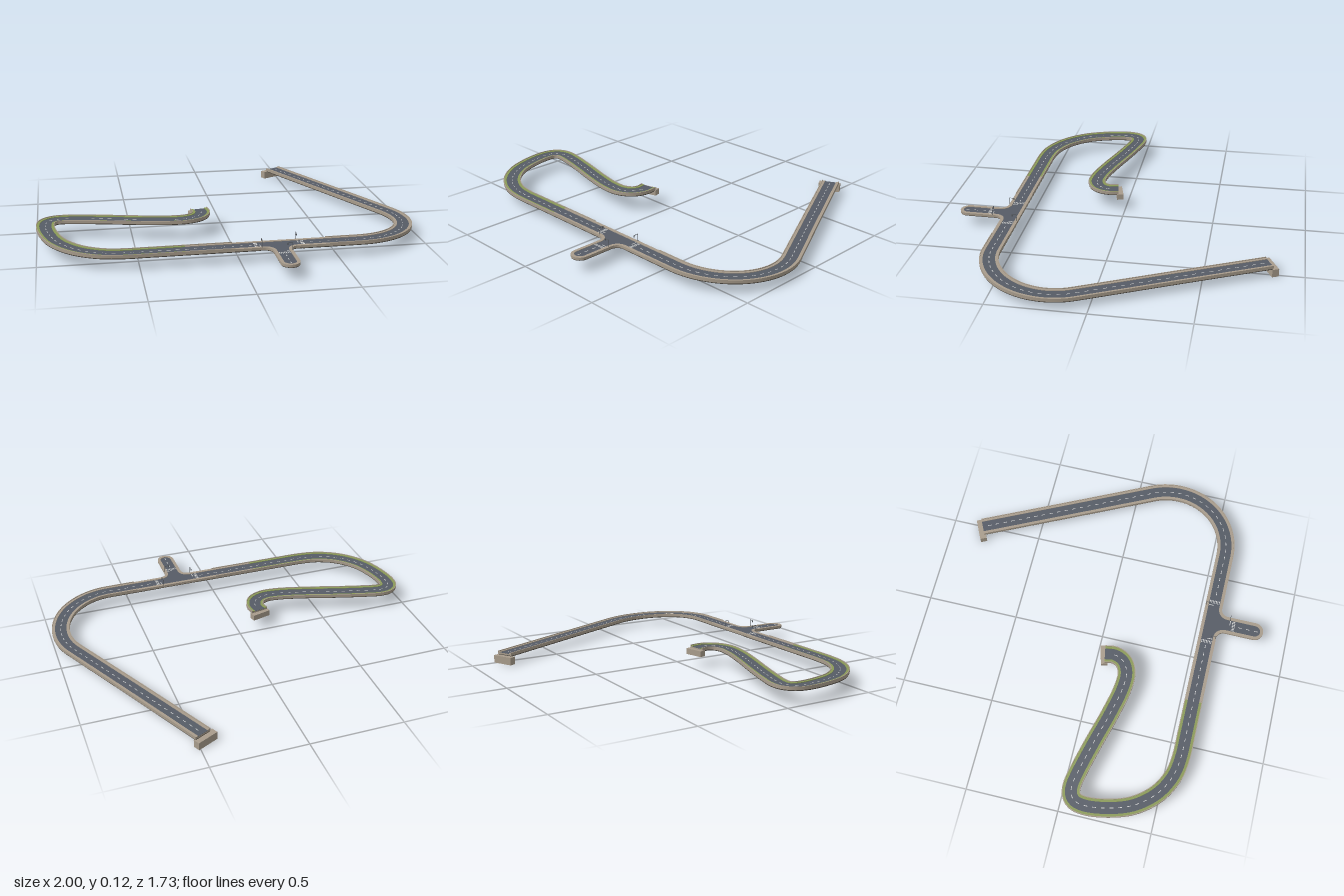
import * as THREE from 'three';
import { toCreasedNormals } from 'three/addons/utils/BufferGeometryUtils.js';

const V = (x, y, z) => new THREE.Vector3(x, y, z);
const material = (color) => new THREE.MeshStandardMaterial({ color, roughness: 0.9 });
const MAT = {
  road: material(0x565c66), concrete: material(0xa89c8c), soffit: material(0x4c4740),
  grass: material(0x8b9a58), paint: material(0xc9cbc8), metal: material(0x55585c),
};
const MAIN_Y = 0.073, MAIN_Z = 0.567, HALF = 0.048, LANE = 0.031;

function add(parent, name, geometry, mat) {
  const mesh = new THREE.Mesh(geometry, mat);
  mesh.name = name;
  parent.add(mesh);
  return mesh;
}

// Rectangular section (offsets o0..o1, heights y0..y1) swept along a list of points
function sweep(points, o0, o1, y0, y1) {
  const section = [[o0, y0], [o1, y0], [o1, y1], [o0, y1]];
  const pos = [], index = [], last = points.length - 1;
  points.forEach((p, i) => {
    const t = points[Math.min(i + 1, last)].clone().sub(points[Math.max(i - 1, 0)]).setY(0).normalize();
    for (const [o, y] of section) pos.push(p.x - t.z * o, p.y + y, p.z + t.x * o);
    if (i === last) return;
    for (let k = 0; k < 4; k++) {
      const a = i * 4 + k, b = i * 4 + (k + 1) % 4;
      index.push(a, a + 4, b + 4, a, b + 4, b);
    }
  });
  const e = last * 4;
  index.push(0, 1, 2, 0, 2, 3, e, e + 2, e + 1, e, e + 3, e + 2);
  const g = new THREE.BufferGeometry();
  g.setAttribute('position', new THREE.Float32BufferAttribute(pos, 3));
  g.setIndex(index);
  return toCreasedNormals(g, 0.6);
}

// One stretch of deck with surface, kerbs and optional parapets or grass verges
function roadSection(parent, name, points, { parapet = false, verge = false } = {}) {
  const g = new THREE.Group();
  g.name = name;
  parent.add(g);
  add(g, 'soffit', sweep(points, -0.046, 0.046, -0.014, -0.009), MAT.soffit);
  add(g, 'deck', sweep(points, -HALF, HALF, -0.009, 0), MAT.concrete);
  add(g, 'roadSurface', sweep(points, -LANE, LANE, -0.001, 0.001), MAT.road);
  for (const s of [-1, 1]) {
    const band = (a, b, h) => sweep(points, Math.min(s * a, s * b), Math.max(s * a, s * b), -0.001, h);
    add(g, verge ? 'verge' : 'kerb', band(LANE, 0.044, 0.004), verge ? MAT.grass : MAT.concrete);
    add(g, 'edging', band(0.044, HALF, parapet ? 0.008 : 0.004), MAT.concrete);
  }
}

// Broken centre line following the points
function dashes(parent, points) {
  const path = new THREE.CurvePath();
  for (let i = 1; i < points.length; i++) path.add(new THREE.LineCurve3(points[i - 1], points[i]));
  const length = path.getLength();
  for (let d = 0.03; d < length - 0.04; d += 0.045) {
    const line = [0, 0.01, 0.02].map((k) => path.getPointAt((d + k) / length));
    add(parent, 'laneDash', sweep(line, -0.0018, 0.0018, 0.0005, 0.0016), MAT.paint);
  }
}

function arc(cx, cz, r, a0, a1, n) {
  return Array.from({ length: n + 1 }, (_, i) => {
    const a = a0 + (a1 - a0) * i / n;
    return [cx + r * Math.cos(a), cz + r * Math.sin(a)];
  });
}

// Front outline of the side-road junction at a given half width
function junctionEdge(h) {
  const r = 0.088 - h, P = Math.PI;
  return [
    [0.09, MAIN_Z + h],
    ...arc(0.112, 0.655, r, -P / 2, 0, 10),
    ...arc(0.2, 0.813, h, P, 0, 20),
    ...arc(0.288, 0.655, r, -P, -P / 2, 10),
    [0.31, MAIN_Z + h],
  ];
}

function plate(outline, top, depth) {
  const shape = new THREE.Shape(outline.map(([x, z]) => new THREE.Vector2(x, z)));
  const g = new THREE.ExtrudeGeometry(shape, { depth, bevelEnabled: false });
  return toCreasedNormals(g.rotateX(Math.PI / 2).translate(0, top, 0), 0.6);
}

function junction(parent) {
  const g = new THREE.Group();
  g.name = 'junction';
  parent.add(g);
  const tee = (h) => [...junctionEdge(h), [0.31, MAIN_Z - h], [0.09, MAIN_Z - h]];
  add(g, 'soffit', plate(tee(0.046), MAIN_Y - 0.009, 0.004), MAT.soffit);
  add(g, 'deck', plate(tee(HALF), MAIN_Y, 0.009), MAT.concrete);
  add(g, 'roadSurface', plate(tee(LANE), MAIN_Y + 0.001, 0.002), MAT.road);
  const kerb = [...junctionEdge(HALF), ...junctionEdge(LANE).reverse()];
  add(g, 'frontKerb', plate(kerb, MAIN_Y + 0.004, 0.005), MAT.concrete);
  add(g, 'backKerb', sweep([V(0.31, MAIN_Y, MAIN_Z), V(0.09, MAIN_Y, MAIN_Z)], LANE, HALF, -0.001, 0.004), MAT.concrete);
  dashes(g, [V(0.2, MAIN_Y, 0.69), V(0.2, MAIN_Y, 0.86)]);
}

// Signal mast at the kerb with an arm over the lane, plus a striped crossing
function signal(parent, x, z, turn) {
  const g = new THREE.Group();
  g.name = 'signal';
  g.position.set(x, MAIN_Y, z);
  g.rotation.y = turn;
  parent.add(g);
  const box = (name, w, h, d, px, py, pz, mat) =>
    add(g, name, new THREE.BoxGeometry(w, h, d).translate(px, py, pz), mat);
  add(g, 'mast', new THREE.CylinderGeometry(0.0012, 0.0016, 0.043, 8).translate(0.045, 0.0215, 0), MAT.metal);
  box('arm', 0.027, 0.0018, 0.0018, 0.0325, 0.042, 0, MAT.metal);
  box('signalHead', 0.004, 0.011, 0.004, 0.02, 0.037, 0, MAT.metal);
  box('stopLine', 0.028, 0.001, 0.004, 0.015, 0.0014, 0.004, MAT.paint);
  for (let i = -3; i <= 3; i++) box('crossingStripe', 0.004, 0.001, 0.018, i * 0.0085, 0.0014, 0.024, MAT.paint);
}

function abutment(parent, x, z, y0, y1, width, tx, tz) {
  const m = add(parent, 'abutment', new THREE.BoxGeometry(width, y1 - y0, 0.036), MAT.concrete);
  m.position.set(x, (y0 + y1) / 2, z);
  m.rotation.y = Math.atan2(tx, tz);
}

export function createModel() {
  const model = new THREE.Group();
  model.name = 'elevatedRoad';

  // Long straight and sweeping bend on the left side
  const bend = arc(0.612, 0.23, 0.337, -0.447, Math.PI / 2, 40).map(([x, z], i) => {
    const k = i / 40;
    return V(x, 0.051 + 0.022 * k * k * (3 - 2 * k), z);
  });
  const leftRoad = [V(0.474, 0.054, -0.822), V(0.694, 0.053, -0.369), ...bend, V(0.45, MAIN_Y, MAIN_Z)];
  roadSection(model, 'leftRoad', leftRoad, { parapet: true });

  // Level stretches either side of the junction
  const leftLevel = [V(0.45, MAIN_Y, MAIN_Z), V(0.31, MAIN_Y, MAIN_Z)];
  const rightLevel = [V(0.09, MAIN_Y, MAIN_Z), V(-0.03, MAIN_Y, MAIN_Z)];
  const approach = [V(-0.03, MAIN_Y, MAIN_Z), V(-0.27, MAIN_Y, MAIN_Z)];
  roadSection(model, 'leftLevel', leftLevel);
  roadSection(model, 'rightLevel', rightLevel);
  roadSection(model, 'approach', approach, { parapet: true });
  junction(model);

  // Winding climb with grass verges
  const climb = new THREE.CatmullRomCurve3([
    V(-0.27, 0.073, 0.567), V(-0.45, 0.073, 0.567), V(-0.59, 0.073, 0.565), V(-0.69, 0.074, 0.547),
    V(-0.8, 0.076, 0.487), V(-0.89, 0.079, 0.38), V(-0.937, 0.082, 0.25), V(-0.952, 0.084, 0.13),
    V(-0.94, 0.085, 0.077), V(-0.91, 0.086, 0.051), V(-0.865, 0.087, 0.045), V(-0.79, 0.089, 0.058),
    V(-0.623, 0.092, 0.1), V(-0.452, 0.095, 0.148), V(-0.291, 0.098, 0.183), V(-0.205, 0.1, 0.183),
    V(-0.148, 0.101, 0.153), V(-0.123, 0.102, 0.1), V(-0.13, 0.102, 0.045),
  ]).getSpacedPoints(140);
  roadSection(model, 'rightRoad', climb, { parapet: true, verge: true });

  const markings = new THREE.Group();
  markings.name = 'laneMarkings';
  model.add(markings);
  dashes(markings, [...leftRoad, leftLevel[1]]);
  dashes(markings, [...rightLevel, approach[1], ...climb.slice(1)]);

  // Abutments under both free ends
  abutment(model, 0.463, -0.828, 0, 0.042, 0.12, 0.438, 0.903);
  abutment(model, -0.131, 0.04, 0.062, 0.094, 0.106, 0.25, 0.96);

  // One signal for each approach to the junction
  signal(model, 0.105, MAIN_Z, -Math.PI / 2);
  signal(model, 0.295, MAIN_Z, Math.PI / 2);
  signal(model, 0.2, 0.67, 0);
  return model;
}
